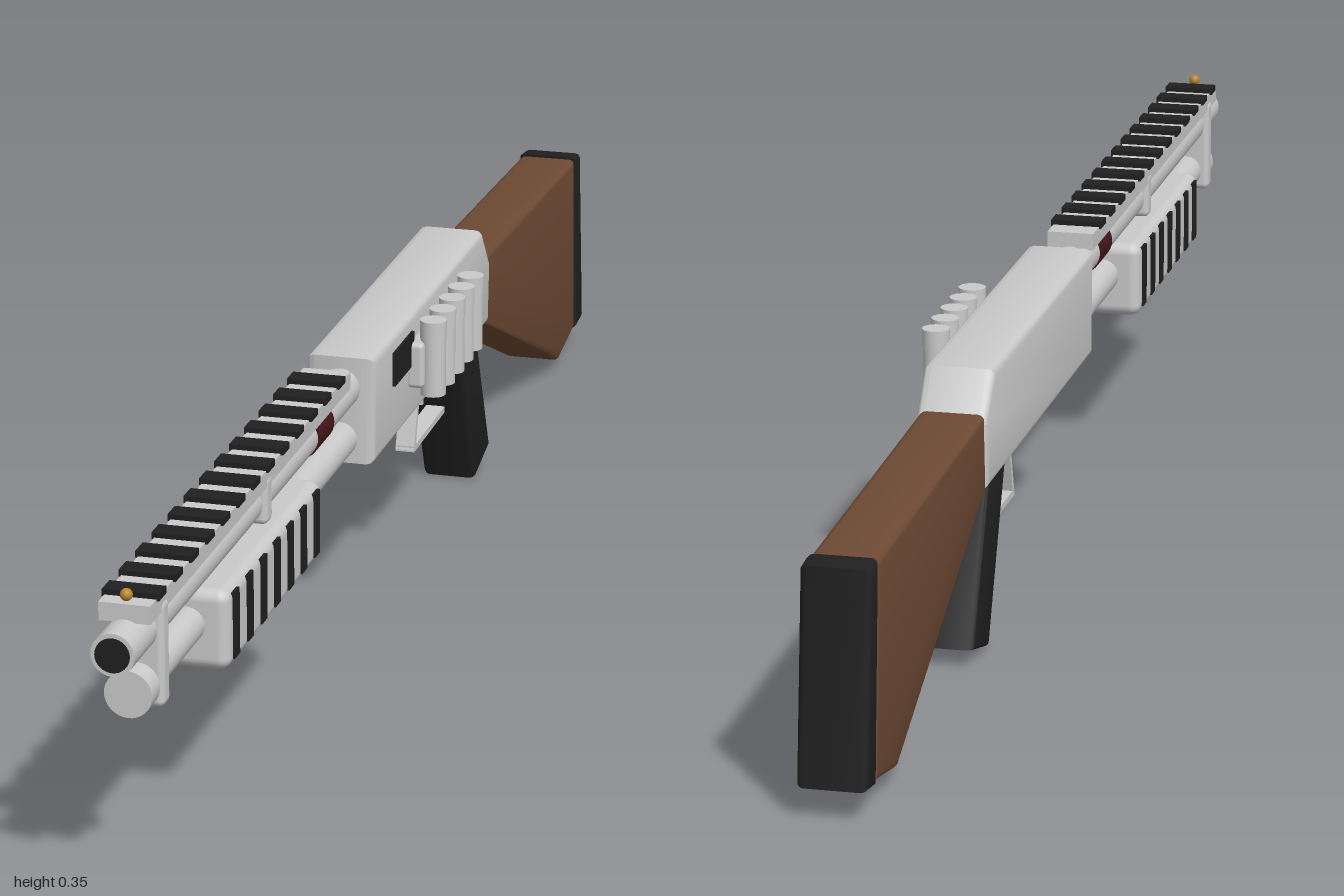
import * as THREE from 'three';
import { toCreasedNormals } from 'three/addons/utils/BufferGeometryUtils.js';
import { RoundedBoxGeometry } from 'three/addons/geometries/RoundedBoxGeometry.js';

const material = (name, color) => {
  const m = new THREE.MeshStandardMaterial({ color });
  m.name = name;
  return m;
};

export function createModel() {
  const steel = material('pale steel', 0xcacaca);
  const black = material('black', 0x202020);
  const wood = material('walnut', 0x6e4a34);
  const brass = material('brass', 0xb8862b);
  const red = material('dark red', 0x45161a);

  const CX = -0.019; // centre plane of the gun
  const group = new THREE.Group();

  const add = (name, geometry, mat, x, y, z) => {
    const mesh = new THREE.Mesh(geometry, mat);
    mesh.name = name;
    mesh.position.set(x, y, z);
    group.add(mesh);
    return mesh;
  };

  // Side outline of [z, y] points, given a width and rounded edges
  const slab = (name, points, width, bevel, mat) => {
    const shape = new THREE.Shape(points.map(([z, y]) => new THREE.Vector2(z, y)));
    let g = new THREE.ExtrudeGeometry(shape, {
      depth: width - 2 * bevel, bevelEnabled: true, bevelThickness: bevel,
      bevelSize: bevel, bevelOffset: -bevel, bevelSegments: 3,
    });
    g.translate(0, 0, -(width - 2 * bevel) / 2);
    g.rotateY(-Math.PI / 2);
    g = toCreasedNormals(g, 0.6);
    return add(name, g, mat, CX, 0, 0);
  };

  // Cylinder lying along z
  const rodZ = (name, radius, z0, z1, y, mat) => {
    const g = new THREE.CylinderGeometry(radius, radius, z1 - z0, 32).rotateX(Math.PI / 2);
    return add(name, g, mat, CX, y, (z0 + z1) / 2);
  };

  // Flat strip between two [z, y] points
  const strip = (name, a, b, width, thick) => {
    const dz = b[0] - a[0], dy = b[1] - a[1];
    const g = new THREE.BoxGeometry(width, thick, Math.hypot(dz, dy) + thick);
    const m = add(name, g, steel, CX, (a[1] + b[1]) / 2, (a[0] + b[0]) / 2);
    m.rotation.x = -Math.atan2(dy, dz);
    return m;
  };

  // Receiver, stock, butt pad and grip
  slab('receiver', [[0.107, 0.205], [0.107, 0.339], [-0.42, 0.339], [-0.462, 0.285], [-0.456, 0.205]], 0.085, 0.01, steel);
  slab('stock', [[-0.44, 0.295], [-0.945, 0.28], [-0.957, 0.035], [-0.864, 0.017], [-0.44, 0.205]], 0.077, 0.008, wood);
  slab('buttPad', [[-0.943, 0.283], [-0.975, 0.28], [-1, 0.038], [-0.96, 0.032]], 0.08, 0.008, black);
  slab('grip', [[-0.33, 0.215], [-0.415, 0.215], [-0.495, 0.023], [-0.418, 0.002]], 0.07, 0.008, black);

  // Trigger and guard
  strip('guardFront', [-0.225, 0.21], [-0.197, 0.119], 0.024, 0.008);
  strip('guardBottom', [-0.197, 0.118], [-0.34, 0.12], 0.024, 0.008);
  strip('trigger', [-0.268, 0.21], [-0.257, 0.16], 0.012, 0.009);

  // Barrel with dark bore and red band
  rodZ('barrel', 0.0245, 0.09, 0.998, 0.3, steel);
  rodZ('bore', 0.0195, 0.99, 1, 0.3, black);
  rodZ('redBand', 0.0265, 0.227, 0.29, 0.3, red);

  // Magazine tube and cap
  rodZ('magazineTube', 0.021, 0.09, 0.925, 0.235, steel);
  rodZ('magazineCap', 0.027, 0.918, 0.947, 0.235, steel);

  // Barrel clamps
  add('frontClamp', new RoundedBoxGeometry(0.062, 0.122, 0.026, 3, 0.008), steel, CX, 0.271, 0.905);
  add('middleClamp', new RoundedBoxGeometry(0.06, 0.058, 0.026, 3, 0.008), steel, CX, 0.304, 0.508);

  // Top rail with dark cross ribs
  add('rail', new THREE.BoxGeometry(0.058, 0.021, 0.79), steel, CX, 0.3315, 0.56);
  for (let i = 0; i < 13; i++) {
    add('railRib', new THREE.BoxGeometry(0.064, 0.008, 0.027), black, CX, 0.344, 0.212 + i * 0.059);
  }
  add('beadSight', new THREE.SphereGeometry(0.007, 20, 14), brass, CX, 0.35, 0.947);

  // Pump with dark grooves on both sides
  add('pump', new RoundedBoxGeometry(0.096, 0.095, 0.38, 4, 0.014), steel, CX, 0.229, 0.545);
  for (const side of [-1, 1]) {
    for (let i = 0; i < 7; i++) {
      add('pumpGroove', new THREE.BoxGeometry(0.004, 0.078, 0.021), black,
        CX + side * 0.048, 0.231, 0.383 + i * 0.054);
    }
  }

  // Ejection port and shell carrier on the left side
  add('ejectionPort', new THREE.BoxGeometry(0.006, 0.042, 0.09), black, 0.0245, 0.299, -0.02);
  add('shellCarrier', new RoundedBoxGeometry(0.022, 0.058, 0.225, 3, 0.006), steel, 0.031, 0.279, -0.163);
  for (let i = 0; i < 5; i++) {
    const z = -0.255 + i * 0.0455;
    add('shellBody', new THREE.CylinderGeometry(0.0155, 0.0155, 0.074, 24), steel, 0.049, 0.275, z);
    add('shellHead', new THREE.CylinderGeometry(0.0165, 0.0165, 0.023, 24), steel, 0.049, 0.3225, z);
  }

  return group;
}
